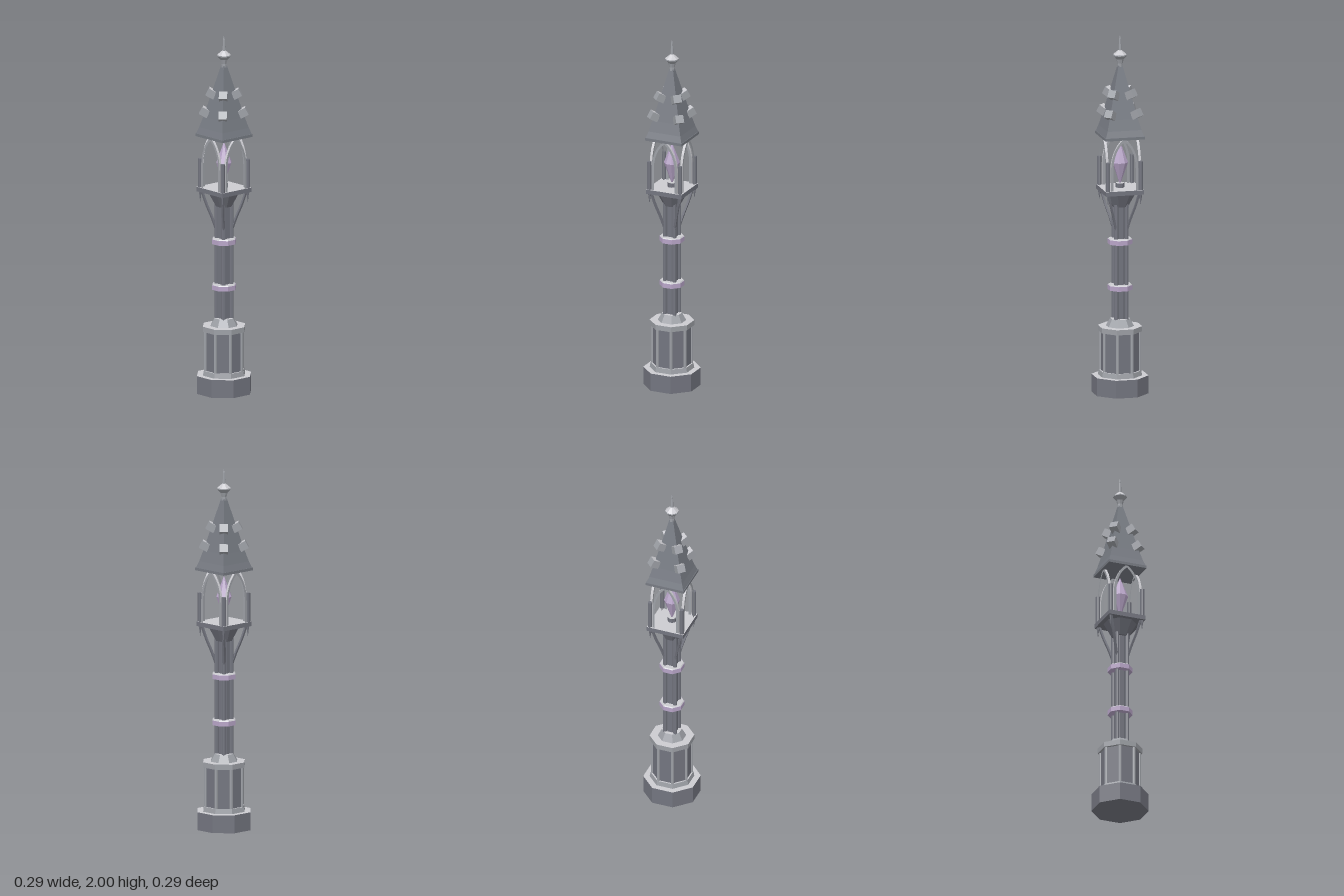
import * as THREE from 'three';

const flat = (name, color) => {
  const m = new THREE.MeshStandardMaterial({ color, flatShading: true });
  m.name = name;
  return m;
};

export function createModel() {
  const root = new THREE.Group();
  root.name = 'lanternPost';
  const stone = flat('slateStone', 0x73757f);
  const trim = flat('paleStone', 0x9da0a6);
  const ledge = flat('bleachedLedge', 0xcbcbd0);
  const roofMat = flat('roofSlate', 0x777b83);
  const violet = flat('violetCrystal', 0xb8a5c8);

  const add = (name, geo, mat, parent = root) => {
    const m = new THREE.Mesh(geo, mat);
    m.name = name;
    parent.add(m);
    return m;
  };
  // Regular prism or frustum; halves are measured to the flat sides
  const prism = (name, sides, bottom, top, y0, y1, mat, topMat = mat) => {
    const k = 1 / Math.cos(Math.PI / sides);
    const g = new THREE.CylinderGeometry(top * k, bottom * k, y1 - y0, sides);
    g.rotateY(Math.PI / sides).translate(0, (y0 + y1) / 2, 0);
    return add(name, g, [mat, topMat, mat]);
  };
  const rod = (name, r, x, z, y0, y1, mat, parent, sides = 8) => {
    const g = new THREE.CylinderGeometry(r, r, y1 - y0, sides);
    return add(name, g.translate(x, (y0 + y1) / 2, z), mat, parent);
  };
  const around = (n, start, fn) => {
    for (let i = 0; i < n; i++) fn(start + (i * 2 * Math.PI) / n);
  };

  // Octagonal pedestal
  prism('base', 8, 0.145, 0.145, 0, 0.1, stone, ledge);
  prism('plinthMoulding', 8, 0.113, 0.108, 0.1, 0.127, trim, ledge);
  prism('pedestalBody', 8, 0.1, 0.1, 0.125, 0.346, stone);
  around(8, Math.PI / 8, a =>
    rod('pedestalRib', 0.009, 0.107 * Math.cos(a), 0.107 * Math.sin(a), 0.125, 0.346, trim));
  prism('pedestalCap', 8, 0.113, 0.113, 0.346, 0.375, trim, ledge);
  prism('shaftFoot', 8, 0.072, 0.05, 0.375, 0.417, trim, ledge);

  // Shaft with four diagonal colonnettes and violet bands
  prism('shaftCore', 8, 0.031, 0.031, 0.41, 1.06, stone);
  around(4, Math.PI / 4, a =>
    rod('colonnette', 0.0115, 0.041 * Math.cos(a), 0.041 * Math.sin(a), 0.41, 1.06, stone));
  for (const y of [0.592, 0.849]) {
    prism('shaftBand', 8, 0.063, 0.063, y - 0.014, y + 0.012, violet);
    prism('shaftBandTop', 8, 0.062, 0.058, y + 0.012, y + 0.017, ledge);
  }

  // Capital and lantern floor
  prism('capital', 8, 0.042, 0.084, 1.045, 1.127, stone);
  prism('lanternFloor', 4, 0.107, 0.107, 1.125, 1.15, stone, ledge);
  prism('crystalStand', 8, 0.022, 0.022, 1.15, 1.175, stone, ledge);
  prism('crystalLower', 8, 0.003, 0.041, 1.172, 1.29, violet);
  prism('crystalUpper', 8, 0.041, 0.002, 1.29, 1.4, violet);

  // Corner parts, modelled along +x and turned to each diagonal
  const bracketPath = new THREE.CatmullRomCurve3([
    [0.045, 0.92], [0.068, 0.985], [0.095, 1.05], [0.122, 1.13],
  ].map(([x, y]) => new THREE.Vector3(x, y, 0)));
  around(4, Math.PI / 4, a => {
    const corner = new THREE.Group();
    corner.name = 'lanternCorner';
    corner.rotation.y = a;
    root.add(corner);
    add('bracket', new THREE.TubeGeometry(bracketPath, 8, 0.008, 4), stone, corner);
    const drop = new THREE.ConeGeometry(0.009, 0.06, 6);
    add('pendant', drop.rotateX(Math.PI).translate(0.13, 1.096, 0), stone, corner);
    rod('cornerPost', 0.0125, 0.131, 0, 1.15, 1.31, stone, corner);
    // Crockets riding on the roof hip, with pale upper faces
    for (const [r, y] of [[0.105, 1.572], [0.069, 1.677]]) {
      const c = add('crocket', new THREE.BoxGeometry(0.048, 0.044, 0.046),
        [trim, trim, ledge, trim, trim, trim], corner);
      c.position.set(r, y, 0);
      c.rotation.z = 0.5;
    }
  });

  // Pointed arch on each side, cut from a flat outline
  const lancet = (path, w, y0, apex) => {
    path.moveTo(-w, y0);
    path.lineTo(-w, 1.27);
    path.bezierCurveTo(-w, 1.34, -w * 0.6, apex - 0.03, 0, apex);
    path.bezierCurveTo(w * 0.6, apex - 0.03, w, 1.34, w, 1.27);
    path.lineTo(w, y0);
    path.closePath();
    return path;
  };
  const archShape = lancet(new THREE.Shape(), 0.077, 1.148, 1.442);
  // The opening reaches almost to the floor
  archShape.holes.push(lancet(new THREE.Path(), 0.063, 1.15, 1.425));
  const archGeo = new THREE.ExtrudeGeometry(archShape, {
    depth: 0.014, bevelEnabled: false, curveSegments: 6,
  }).translate(0, 0, 0.085);
  around(4, 0, a => { add('lancetArch', archGeo, [trim, ledge]).rotation.y = a; });

  // Spire roof
  prism('eaves', 4, 0.111, 0.111, 1.435, 1.45, roofMat);
  const profile = [[0.108, 1.45], [0.096, 1.485], [0.08, 1.545], [0.011, 1.835]];
  for (let i = 0; i < profile.length - 1; i++) {
    const [b, y0] = profile[i], [t, y1] = profile[i + 1];
    prism('spire', 4, b, t, y0, y1, roofMat);
  }

  // Finial
  const knop = [[0, 1.82], [0.015, 1.825], [0.015, 1.845], [0.021, 1.868], [0.039, 1.888], [0.038, 1.894]];
  const knopGeo = new THREE.LatheGeometry(knop.map(([x, y]) => new THREE.Vector2(x, y)), 8);
  add('finialKnop', knopGeo.rotateY(Math.PI / 8), trim);
  prism('finialCap', 8, 0.035, 0.009, 1.894, 1.918, ledge);
  prism('finialSpike', 8, 0.008, 0.005, 1.915, 1.98, trim);
  prism('finialTip', 8, 0.005, 0.001, 1.98, 2, trim);
  return root;
}
